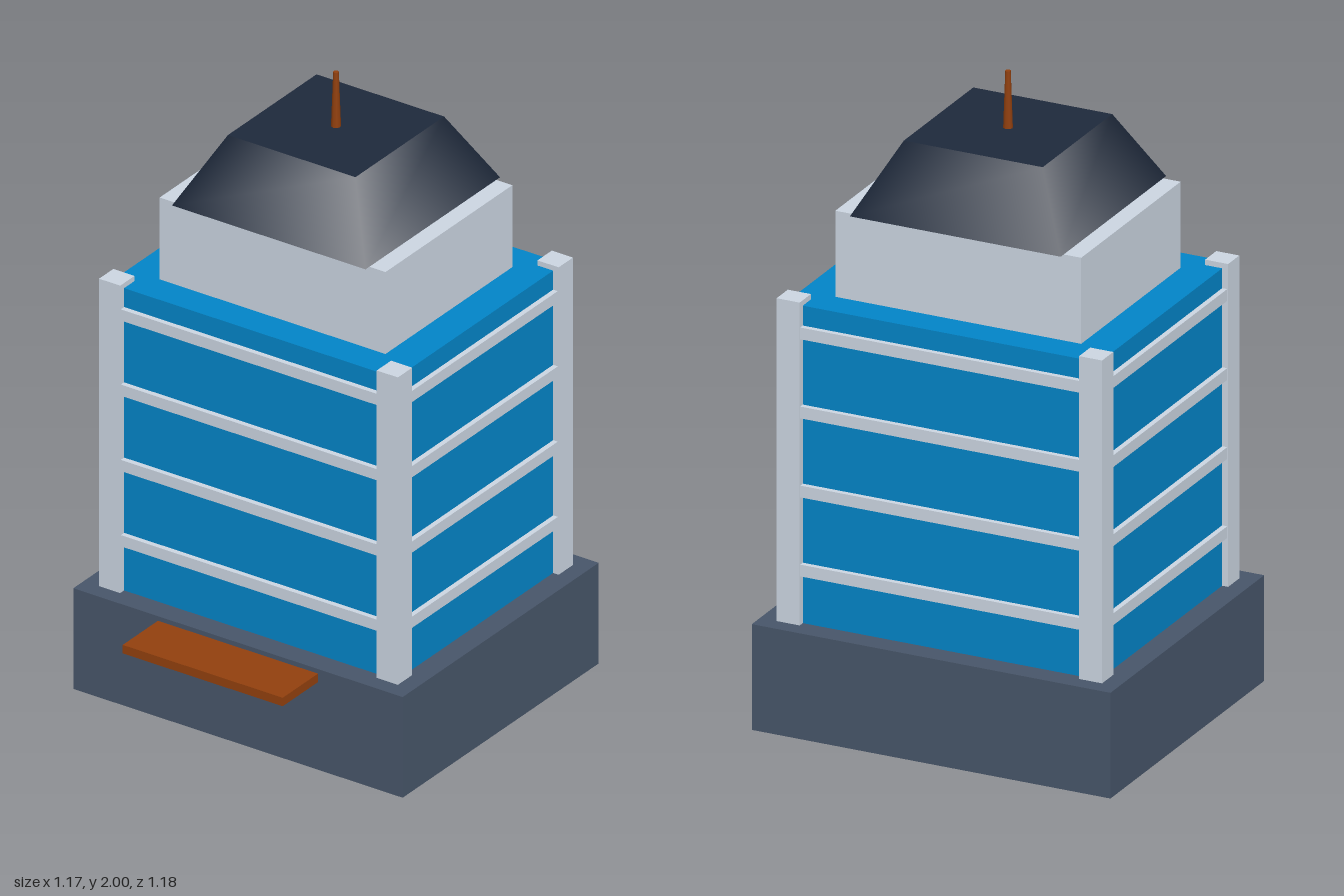
import * as THREE from 'three';

const mat = (name, color) => {
  const m = new THREE.MeshStandardMaterial({ color });
  m.name = name;
  return m;
};

export function createModel() {
  const slate = mat('slate', 0x475569);
  const glass = mat('blueGlass', 0x0284c7);
  const stone = mat('paleStone', 0xcbd5e1);
  const navy = mat('darkNavy', 0x1e293b);
  const bronze = mat('bronze', 0x92400e);

  const model = new THREE.Group();
  model.name = 'officeTower';

  // The tower stands behind the origin so the canopy balances the depth
  const tower = new THREE.Group();
  tower.name = 'tower';
  tower.position.z = -0.09;
  model.add(tower);

  const add = (name, geometry, material, x, y, z) => {
    const mesh = new THREE.Mesh(geometry, material);
    mesh.name = name;
    mesh.position.set(x, y, z);
    tower.add(mesh);
    return mesh;
  };
  // Box given by its width, depth and bottom and top heights
  const block = (name, material, w, d, y0, y1, x = 0, z = 0) =>
    add(name, new THREE.BoxGeometry(w, y1 - y0, d), material, x, (y0 + y1) / 2, z);

  // Main volumes
  block('podium', slate, 1.167, 1, 0, 0.333);
  block('glassBody', glass, 1.02, 0.853, 0.333, 1.333);
  block('upperStorey', stone, 0.8, 0.647, 1.333, 1.604);

  // Floor bands wrapping the glass
  for (let i = 0; i < 4; i++) {
    const y = 0.505 + i * 0.249;
    block('floorBand', stone, 1.053, 0.887, y - 0.0185, y + 0.0185);
  }

  // Corner pillars
  for (const sx of [-1, 1]) {
    for (const sz of [-1, 1]) {
      block('cornerPillar', stone, 0.075, 0.073, 0.333, 1.35, sx * 0.492, sz * 0.41);
    }
  }

  // Sloping four-sided roof, softly shaded
  const roof = add('roof',
    new THREE.CylinderGeometry(0.226 * Math.SQRT2, 0.343 * Math.SQRT2, 0.217, 4),
    navy, 0, 1.7125, 0);
  roof.rotation.y = Math.PI / 4;

  // Tapered mast
  add('mast', new THREE.CylinderGeometry(0.0085, 0.015, 0.18, 8), bronze, 0, 1.91, 0);

  // Entrance canopy
  block('canopy', bronze, 0.567, 0.2, 0.29, 0.318, 0, 0.58);

  return model;
}
